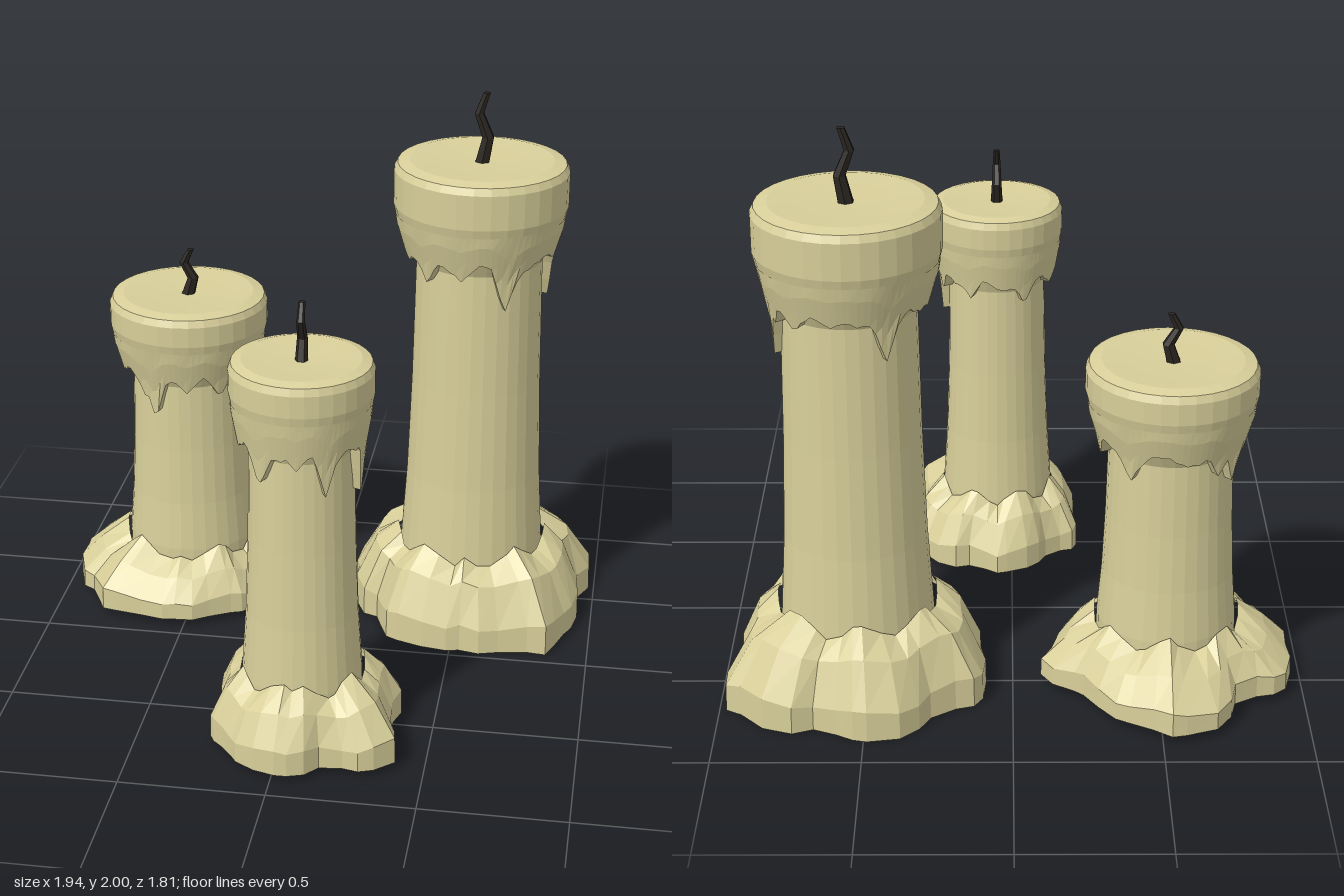
import * as THREE from 'three';

const wax = new THREE.MeshStandardMaterial({ color: 0xd8cf9a, flatShading: true });
const char = new THREE.MeshStandardMaterial({ color: 0x2a2520, flatShading: true });
const { lerp, clamp } = THREE.MathUtils;

// puddle: radii every 20 degrees from the front toward +x; drips: longest ones as [angle, tip height]
const CANDLES = [
  {
    name: 'leftCandle', x: -0.53, z: -0.43, y0: 0.03, top: 1.2, capR: 0.29, capLow: 1.04, hem: 0.94,
    rTop: 0.21, rLow: 0.24, poolTop: 0.24, wickH: 0.17, wickTurn: 0,
    drips: [[-0.36, 0.77], [2.5, 0.84], [-2.2, 0.82]],
    puddle: [.38, .36, .37, .36, .375, .44, .37, .375, .41, .47, .45, .35, .42, .44, .434, .405, .44, .39],
  },
  {
    name: 'tallCandle', x: 0.535, z: -0.43, y0: 0, top: 1.76, capR: 0.31, capLow: 1.55, hem: 1.44,
    rTop: 0.225, rLow: 0.265, poolTop: 0.31, wickH: 0.25, wickTurn: 0,
    drips: [[0.46, 1.27], [1.8, 1.24], [-2.6, 1.28]],
    puddle: [.39, .41, .49, .43, .42, .41, .51, .48, .4, .44, .46, .4, .466, .45, .43, .38, .43, .41],
  },
  {
    name: 'frontCandle', x: 0.055, z: 0.57, y0: 0.02, top: 1.39, capR: 0.24, capLow: 1.23, hem: 1.13,
    rTop: 0.175, rLow: 0.205, poolTop: 0.265, wickH: 0.2, wickTurn: Math.PI / 2,
    drips: [[-0.58, 1.0], [0.55, 0.98], [1.45, 0.91]],
    puddle: [.34, .29, .36, .4, .32, .315, .36, .35, .31, .35, .33, .285, .33, .3, .3, .325, .32, .34],
  },
];

// Skins closed rings stacked bottom to top; ends are optionally filled
function loft(rings, closeBottom, closeTop) {
  const n = rings[0].length, pos = rings.flat(2), idx = [];
  for (let k = 0; k < rings.length - 1; k++) {
    for (let i = 0; i < n; i++) {
      const a = k * n + i, b = k * n + (i + 1) % n;
      idx.push(a, b, b + n, a, b + n, a + n);
    }
  }
  const fill = (k, up) => {
    const c = pos.length / 3;
    pos.push(...[0, 1, 2].map(j => rings[k].reduce((s, p) => s + p[j], 0) / n));
    for (let i = 0; i < n; i++) {
      const a = k * n + i, b = k * n + (i + 1) % n;
      idx.push(c, up ? a : b, up ? b : a);
    }
  };
  if (closeBottom) fill(0, false);
  if (closeTop) fill(rings.length - 1, true);
  let g = new THREE.BufferGeometry();
  g.setAttribute('position', new THREE.Float32BufferAttribute(pos, 3));
  g.setIndex(idx);
  g = g.toNonIndexed();
  g.computeVertexNormals();
  return g;
}

function mesh(name, geometry, material) {
  const m = new THREE.Mesh(geometry, material);
  m.name = name;
  return m;
}

const polar = (a, r, y) => [r * Math.sin(a), y, r * Math.cos(a)];
const ringOf = (n, f) => Array.from({ length: n }, (_, i) => f(i / n * Math.PI * 2, i));

// Shaft with a wide rounded rim and a shallow dished top
function body(c) {
  const R = c.capR, h = c.hem - 0.04;
  const pts = [[0, c.y0], [c.rLow, c.y0], [c.rLow, 0.25], [lerp(c.rLow, c.rTop, 0.5), lerp(0.25, h, 0.28)],
    [lerp(c.rLow, c.rTop, 0.8), lerp(0.25, h, 0.6)], [c.rTop, h],
    [R * 0.96, c.capLow], [R, c.capLow + 0.05], [R, c.top - 0.035], [R * 0.96, c.top - 0.01],
    [R * 0.82, c.top], [R * 0.5, c.top - 0.005], [0, c.top - 0.01]];
  return new THREE.LatheGeometry(pts.map(p => new THREE.Vector2(...p)), 32);
}

// Melted skirt below the rim, its hem pulled down into pointed drips
function skirt(c) {
  const n = 80, short = 10;
  const drips = [...c.drips];
  for (let i = 0; i < short; i++) {
    drips.push([(i + 0.25 * Math.sin(i * 5 + c.x * 9)) / short * Math.PI * 2, c.hem - 0.05 - 0.035 * Math.sin(i * 2.3)]);
  }
  const hemAt = (a, i) => {
    let y = c.hem + 0.02 * Math.sin(a * 7) + 0.008 * (i % 2);
    for (const [d, tip] of drips) {
      const off = Math.abs(Math.atan2(Math.sin(a - d), Math.cos(a - d)));
      y = Math.min(y, lerp(c.hem + 0.02, tip, clamp(1 - off / 0.24, 0, 1)));
    }
    return y;
  };
  const radiusAt = y => {
    const t = clamp((c.capLow - y) / (c.capLow - c.hem + 0.04), 0, 1);
    const below = clamp((c.hem - 0.04 - y) / 0.2, 0, 1);
    return lerp(c.capR * 0.98, c.rTop + 0.035, t) - below * 0.012;
  };
  const rings = [ringOf(n, (a, i) => polar(a, c.rTop - 0.01, hemAt(a, i) + 0.005))];
  for (const t of [1, 0.66, 0.33, 0]) {
    rings.push(ringOf(n, (a, i) => {
      const y = lerp(c.capLow + 0.02, hemAt(a, i), t);
      return polar(a, radiusAt(y), y);
    }));
  }
  return loft(rings, false, false);
}

// Hardened puddle: a ragged outline stepped inward up to the shaft
function pool(c) {
  const n = c.puddle.length;
  const step = (y, k, jitter) => ringOf(n * 2, (a, i) => {
    const j = i >> 1, here = c.puddle[j], next = c.puddle[(j + 1) % n];
    const r = i % 2 ? (here + next) / 2 + 0.014 * Math.sin(j * 2.7 + 1) : here;
    const turn = i % 2 ? 0.07 * Math.sin(j * 1.9) : 0;
    const lift = Math.sin(i * 1.3 + c.x * 5) + (r - c.rLow - 0.14) * 4;
    return polar(a + turn, lerp(c.rLow + 0.005, r, k), y + jitter * lift);
  });
  return loft([step(c.y0, 1, 0), step(0.1, 0.99, 0.012), step(c.poolTop - 0.06, 0.55, 0.015),
    step(c.poolTop, 0.02, 0.03)], true, false);
}

// Crooked tapering wick
function wick(c) {
  const bends = [[0, 0], [0.018, 0.36], [-0.015, 0.7], [0.01, 1]];
  return loft(bends.map(([x, t]) => ringOf(6, a => {
    const [px, py, pz] = polar(a, c.capR * 0.09 * lerp(1, 0.5, t), t * c.wickH);
    return [px + x, py, pz];
  })), true, true);
}

export function createModel() {
  const model = new THREE.Group();
  model.name = 'candles';
  for (const c of CANDLES) {
    const g = new THREE.Group();
    g.name = c.name;
    g.position.set(c.x, 0, c.z);
    const w = mesh('wick', wick(c), char);
    w.position.y = c.top - 0.01;
    w.rotation.y = c.wickTurn;
    g.add(mesh('body', body(c), wax), mesh('drips', skirt(c), wax), mesh('waxPool', pool(c), wax), w);
    model.add(g);
  }
  return model;
}
